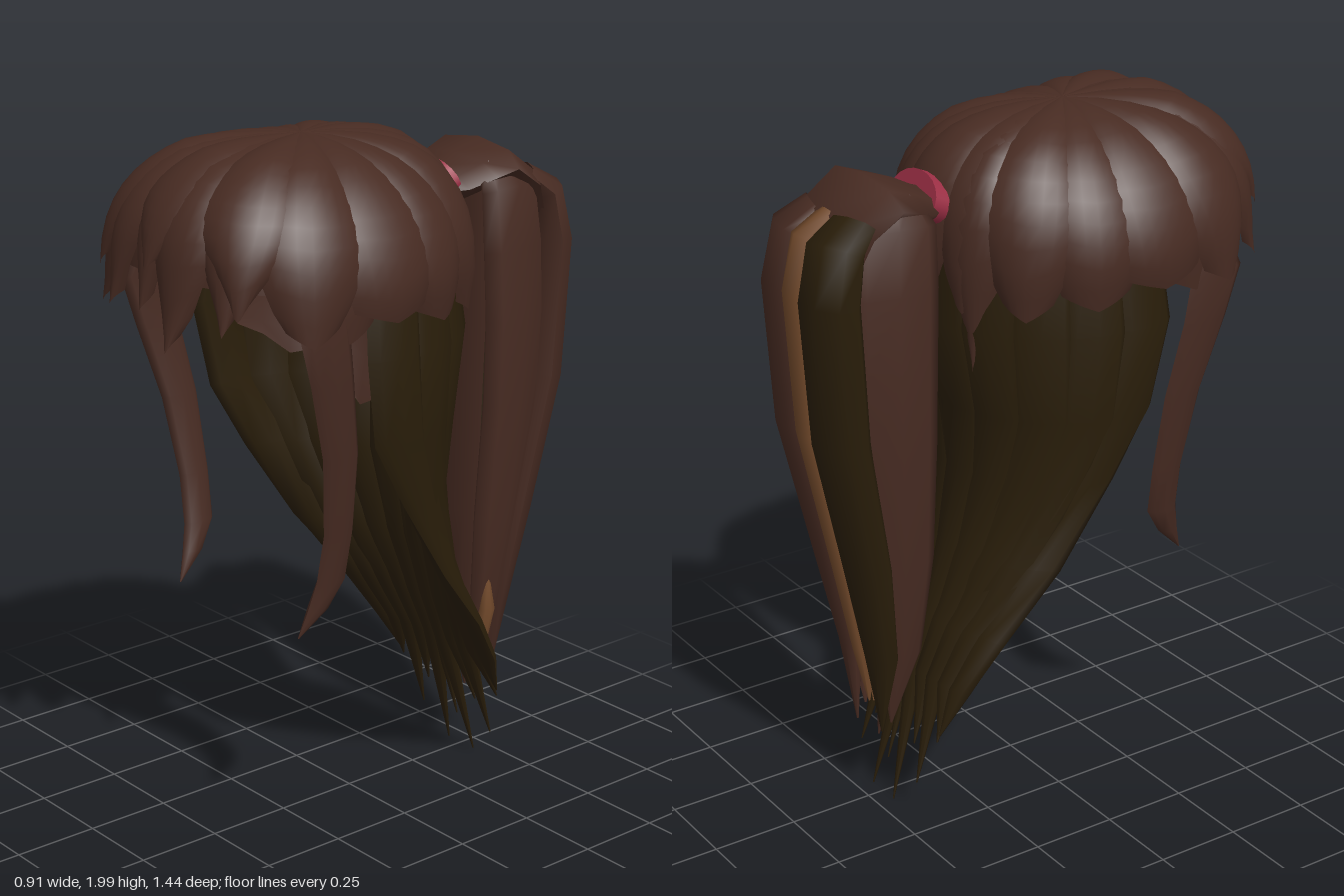
import * as THREE from 'three';

const material = (name, color) =>
  new THREE.MeshStandardMaterial({ name, color, side: THREE.DoubleSide });

const V = (x, y, z) => new THREE.Vector3(x, y, z);
const lerp = THREE.MathUtils.lerp;

// Smooth grid of (rows + 1) x (cols + 1) points; fn(row, col) gives each point
function gridGeometry(rows, cols, fn) {
  const pos = [], index = [];
  for (let j = 0; j <= rows; j++)
    for (let i = 0; i <= cols; i++) pos.push(...fn(j, i).toArray());
  for (let j = 0; j < rows; j++)
    for (let i = 0; i < cols; i++) {
      const a = j * (cols + 1) + i, d = a + cols + 1;
      index.push(a, d, a + 1, a + 1, d, d + 1);
    }
  const g = new THREE.BufferGeometry();
  g.setAttribute('position', new THREE.Float32BufferAttribute(pos, 3));
  g.setIndex(index);
  g.computeVertexNormals();
  return g;
}

// Tapered lock: stations are { p, side, w, h } with flattened oval sections
function strandGeometry(stations) {
  const n = stations.length, sides = 8;
  return gridGeometry(n - 1, sides, (j, i) => {
    const { p, side, w, h } = stations[j];
    const T = stations[Math.min(j + 1, n - 1)].p.clone().sub(stations[Math.max(j - 1, 0)].p);
    const N = T.cross(side).normalize();
    const a = -(i % sides) / sides * Math.PI * 2;
    return p.clone().addScaledVector(side, w * Math.cos(a)).addScaledVector(N, h * Math.sin(a));
  });
}

// Point on the cap: a = angle from the front, s = 0 crown .. 1 widest, beyond 1 hangs down
function capPoint(a, s, lift) {
  const c = Math.cos(a), sn = Math.sin(a);
  const m = c > 0 ? 2.5 : 2, depth = c > 0 ? 0.505 : 0.465;
  const R = (Math.abs(sn / 0.435) ** m + Math.abs(c / depth) ** m) ** (-1 / m);
  const n = 2 + 0.8 * c * c;
  const phi = Math.min(s, 1) * Math.PI / 2, over = Math.max(0, s - 1);
  const flare = 1 + over * (c > 0 ? 0.6 * c - 0.35 : -0.35 - 0.25 * c);
  const r = R * Math.sin(phi) ** (2 / n) * flare + lift * Math.sin(phi);
  const y = 1.62 + 0.37 * Math.max(0, Math.cos(phi)) ** (2 / n) + lift * Math.cos(phi) - over * 0.6;
  return V(r * sn, y, 0.17 + r * c);
}

// One overlapping clump of the cap, running from the crown to a tapered tip
function clumpGeometry(deg, half, length, sharp, lift, bulge = 0.03, cols = 8) {
  const rows = 12, rad = Math.PI / 180;
  return gridGeometry(rows, cols, (j, i) => {
    const v = j / rows, u = i / cols * 2 - 1;
    const taper = 1 - sharp * Math.max(0, (v - 0.6) / 0.4) ** 1.5;
    const s = v * length * (bulge ? 1 - 0.06 * Math.abs(u) * v : 1);
    const out = Math.min(1, v * 3) * (lift + bulge * (1 - u * u) - bulge * 0.5);
    return capPoint((deg + u * half * taper) * rad, s, out);
  });
}

export function createModel() {
  const group = new THREE.Group();
  group.name = 'hair';
  const brown = material('brown hair', 0x472b22);
  const dark = material('dark olive hair', 0x2a1e0a);
  const tan = material('light brown highlight', 0x744b2c);
  const pink = material('pink band', 0x9c2f45);
  const add = (name, geometry, mat) => {
    const mesh = new THREE.Mesh(geometry, mat);
    mesh.name = name;
    group.add(mesh);
    return mesh;
  };

  // Cap base and its layered clumps: [angle, half width, length, sharpness, lift]
  add('capBase', clumpGeometry(0, 180, 0.95, 0, -0.015, 0, 40), brown);
  const bangs = [
    [-58, 21, 1.15, 0.6, 0.012], [-34, 16, 1.14, 0.85, 0.004], [-17, 14, 1.08, 0.85, 0.012],
    [-2, 13, 1.06, 0.85, 0.002], [12, 15, 1.2, 0.85, 0.01], [29, 14, 1.1, 0.85, 0.002],
    [55, 21, 1.15, 0.6, 0.014],
    [-27, 17, 0.97, 0.8, 0.02], [2, 17, 0.93, 0.8, 0.018], [34, 18, 1.02, 0.8, 0.022],
  ];
  bangs.forEach(b => add('bang', clumpGeometry(...b), brown));
  for (const m of [-1, 1])
    [[68, 15, 1.17, 0.2, -0.025], [86, 24, 1.1, 0.3, 0.006], [112, 22, 1.16, 0.4, 0.0], [137, 20, 1.2, 0.55, 0.008], [160, 17, 1.2, 0.65, 0.0]]
      .forEach(([a, ...rest]) => add(m > 0 ? 'leftClump' : 'rightClump', clumpGeometry(a * m, ...rest), brown));
  add('backClump', clumpGeometry(180, 20, 1.22, 0.8, 0.008), brown);
  add('backPoint', clumpGeometry(203, 12, 1.48, 0.95, 0.002), brown);

  // Lining against the inside of the back hair, with a ragged lower edge
  const C = V(0, 1.55, 0.155), E = V(0.32, 0.7, 0.39);
  const cols = 14, rowsDown = 8;
  add('innerLining', gridGeometry(rowsDown, cols, (j, i) => {
    const f = Math.PI * i / cols;
    const t = Math.PI * (0.47 + (0.24 - 0.12 * Math.cos(f) ** 2) * j / rowsDown);
    const rag = j === rowsDown ? (i % 3 - 1) * 0.03 : 0;
    return V(E.x * Math.sin(t) * Math.cos(f), C.y + E.y * Math.cos(t) + rag, C.z - E.z * Math.sin(t) * Math.sin(f));
  }), brown);

  // Dark patches lying on the lining
  [[-0.16, 1.44, 0.055, 0.07], [0.025, 1.38, 0.06, 0.08], [0.175, 1.45, 0.05, 0.065]].forEach(([x, y, w, h]) => {
    const g = new THREE.CircleGeometry(1, 7).scale(w, h, 1).translate(x, y, 0);
    const p = g.attributes.position;
    for (let i = 0; i < p.count; i++) {
      const q = 1 - (p.getX(i) / E.x) ** 2 - ((p.getY(i) - C.y) / E.y) ** 2;
      p.setZ(i, C.z - E.z * Math.sqrt(Math.max(0, q)) + 0.014);
    }
    g.computeVertexNormals();
    add('liningPatch', g, dark);
  });

  // Long back hair: rows of [y, half spread, side z, back z, strand half width, half thickness]
  const rows = [
    [1.72, 0.355, 0.13, -0.235, 0.085, 0.022], [1.45, 0.393, 0.145, -0.272, 0.088, 0.028],
    [1.2, 0.373, 0.11, -0.218, 0.085, 0.028], [1.0, 0.337, 0.012, -0.195, 0.078, 0.028],
    [0.75, 0.292, -0.118, -0.235, 0.065, 0.028], [0.55, 0.256, -0.248, -0.295, 0.052, 0.027],
    [0.4, 0.23, -0.335, -0.35, 0.038, 0.022],
  ];
  // Tips from the middle outwards: [x, y]
  const tips = [[0.055, 0.005], [0.105, 0.2], [0.15, 0.1], [0.21, 0.25], [0.215, 0.27]];
  const backPoint = (row, q) => {
    const [y, X, zs, zb] = row, a = q * Math.PI * 0.52;
    const flat = THREE.MathUtils.clamp((1.2 - y) / 0.7, 0, 1);
    return V(X * lerp(Math.sin(a), q, flat), y, lerp(zs, zb, Math.max(-0.1, Math.cos(a))));
  };
  for (const m of [-1, 1])
    tips.forEach(([x, y], k) => {
      const q = m * (2 * k + 1) / (2 * tips.length - 1);
      const stations = rows.map(r => ({
        p: backPoint(r, q),
        side: backPoint(r, q + 0.03).sub(backPoint(r, q - 0.03)).normalize(),
        w: r[4], h: r[5],
      }));
      stations.push({ p: V(x * m, y, -0.45 + y * 0.22), side: V(1, 0, 0), w: 0.002, h: 0.002 });
      add('longBackStrand', strandGeometry(stations), dark);
    });
  add('middleBackStrand', strandGeometry([...rows.map(r =>
    ({ p: backPoint(r, 0), side: V(1, 0, 0), w: r[4] * 0.6, h: r[5] * 0.8 })),
  { p: V(0, 0.11, -0.43), side: V(1, 0, 0), w: 0.002, h: 0.002 }]), dark);

  // Face-framing side locks: [x, y, z, half width]
  for (const m of [-1, 1]) {
    const path = [[0.385, 1.66, 0.4, 0.05], [0.395, 1.56, 0.41, 0.083], [0.388, 1.42, 0.38, 0.072], [0.36, 1.2, 0.33, 0.06],
      [0.325, 0.97, 0.31, 0.05], [0.3, 0.83, 0.315, 0.05], [0.285, 0.75, 0.35, 0.033], [0.27, 0.67, 0.405, 0.002]];
    add(m > 0 ? 'leftSideLock' : 'rightSideLock', strandGeometry(path.map(([x, y, z, w]) =>
      ({ p: V(x * m, y, z), side: V(0, 0, m), w, h: Math.min(0.022, w) }))), brown);
  }

  // Ponytail pieces: path of [x, y, z, half width, half thickness]
  const tail = (name, mat, side, path) => add(name, strandGeometry(path.map(([x, y, z, w, h]) =>
    ({ p: V(x, y, z), side: side.clone().normalize(), w, h }))), mat);
  tail('ponytailCrown', brown, V(1, 0, 0), [[0, 1.77, -0.27, 0.08, 0.045], [0, 1.78, -0.33, 0.13, 0.05],
    [0, 1.81, -0.4, 0.17, 0.055], [0, 1.83, -0.46, 0.19, 0.065], [0, 1.77, -0.55, 0.185, 0.06], [0, 1.65, -0.6, 0.16, 0.04]]);
  for (const m of [-1, 1])
    tail('ponytailSide', brown, V(-0.15 * m, 0, -1), [[0.1 * m, 1.84, -0.45, 0.07, 0.03], [0.145 * m, 1.77, -0.465, 0.12, 0.04],
      [0.155 * m, 1.6, -0.475, 0.128, 0.045], [0.16 * m, 1.4, -0.48, 0.125, 0.045], [0.155 * m, 1.15, -0.475, 0.118, 0.044],
      [0.13 * m, 0.8, -0.458, 0.102, 0.04], [0.1 * m, 0.5, -0.445, 0.065, 0.03], [0.07 * m, 0.27, -0.46, 0.003, 0.003]]);
  tail('ponytailFront', brown, V(1, 0, 0), [[0, 1.8, -0.4, 0.13, 0.03], [0, 1.4, -0.39, 0.14, 0.035],
    [0, 0.8, -0.395, 0.11, 0.03], [0, 0.5, -0.42, 0.06, 0.025], [0, 0.2, -0.46, 0.003, 0.003]]);
  const backStrand = (name, mat, x, w, dz, tip) => tail(name, mat, V(1, 0, x * 3), [
    [x * 0.85, 1.795, -0.56 - dz, w * 0.8, 0.03], [x, 1.74, -0.625 - dz, w, 0.055], [x * 1.06, 1.6, -0.652 - dz, w * 1.05, 0.06],
    [x * 1.04, 1.2, -0.627 - dz, w, 0.06], [x * 0.9, 0.8, -0.545 - dz, w * 0.85, 0.052],
    [x * 0.75, 0.5, -0.497 - dz, w * 0.6, 0.035], [x * 0.6, tip, -0.49, 0.003, 0.003]]);
  backStrand('ponytailDarkStrand', dark, -0.115, 0.095, 0, 0.25);
  backStrand('ponytailHighlight', tan, -0.004, 0.054, 0.008, 0.32);
  backStrand('ponytailBackStrand', brown, 0.11, 0.092, 0, 0.23);
  tail('lowerHighlight', tan, V(0, 0, -1), [[0.13, 0.6, -0.42, 0.01, 0.01], [0.135, 0.5, -0.42, 0.026, 0.02],
    [0.11, 0.38, -0.415, 0.022, 0.018], [0.08, 0.26, -0.425, 0.003, 0.003]]);

  // Hair band around the ponytail root
  const band = add('hairBand', new THREE.CylinderGeometry(0.108, 0.108, 0.055, 20, 1).rotateX(Math.PI / 2), pink);
  band.scale.set(1, 0.66, 1);
  band.rotation.x = 0.4;
  band.position.set(0, 1.788, -0.29);

  return group;
}
